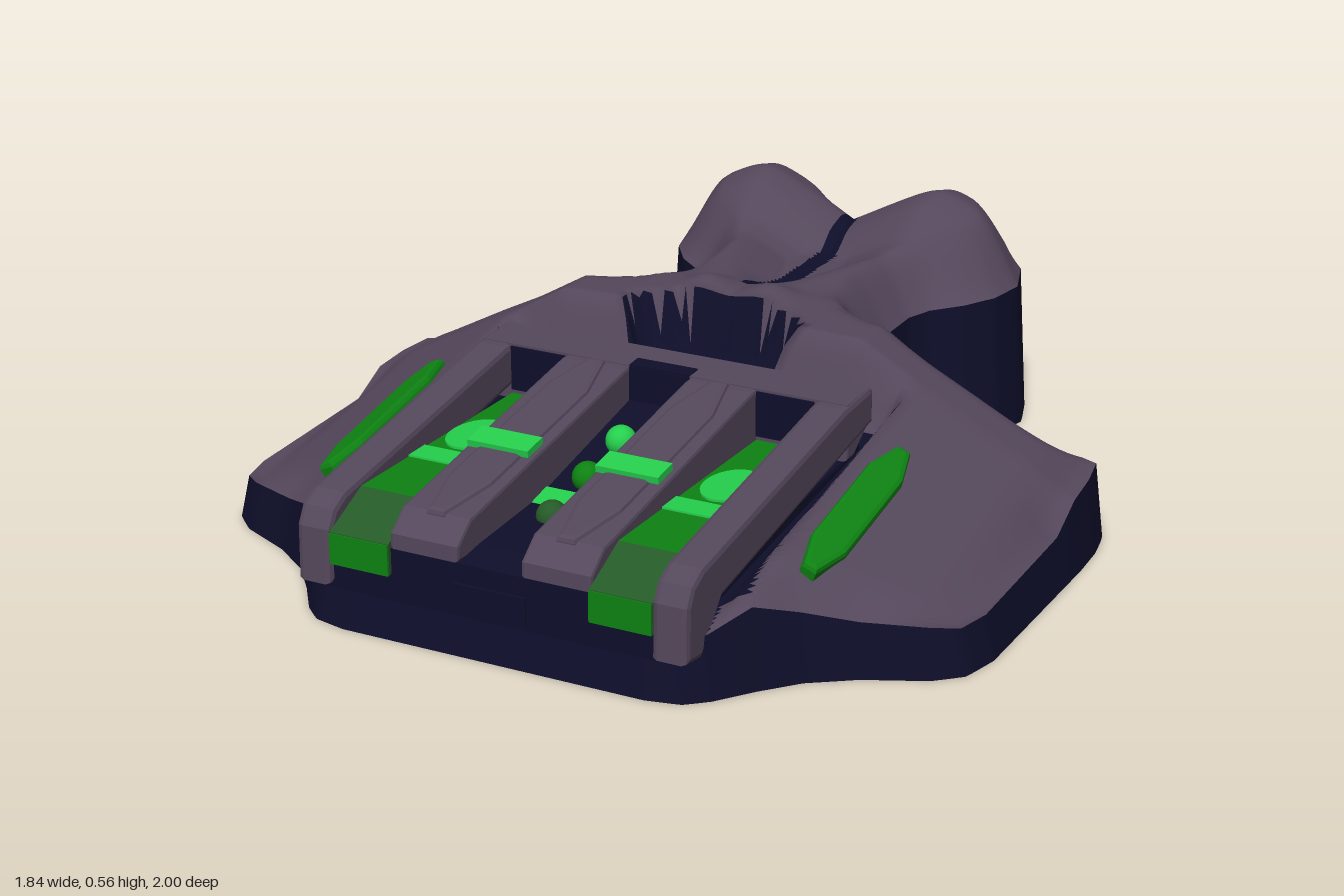
import * as THREE from 'three';

const mat = (name, color) => Object.assign(new THREE.MeshStandardMaterial({ color }), { name });

// Half outline of the hull's upper edge, from the rear notch to the nose: [x, z, edge height]
const NOTCH = [[0, -.895, .36], [.05, -.9, .36], [.1, -.945, .365], [.14, -.97, .37], [.2, -.98, .37]];
const FLANK = [[.2, -.98, .37], [.28, -.97, .37], [.36, -.93, .365], [.42, -.86, .36], [.452, -.76, .35],
  [.43, -.67, .345], [.38, -.6, .34], [.31, -.555, .33], [.28, -.5, .325], [.27, -.4, .315], [.285, -.3, .305],
  [.32, -.24, .3], [.37, -.215, .28], [.45, -.207, .25], [.6, -.205, .2], [.84, -.203, .18], [.88, -.185, .18],
  [.895, -.1, .175], [.9, 0, .165], [.9, .1, .115], [.9, .5, .1], [.88, .585, .1], [.83, .63, .11],
  [.7, .69, .12], [.6, .76, .15], [.53, .84, .18], [.47, .92, .14], [.43, .955, .1], [.36, .97, .09]];
const EDGE = [...NOTCH, ...FLANK.slice(1), [0, .97, .09]];

const { lerp, smoothstep } = THREE.MathUtils;

// Piecewise linear lookup
function table(v, pts) {
  if (v <= pts[0][0]) return pts[0][1];
  for (let i = 1; i < pts.length; i++) {
    const [a, b] = [pts[i - 1], pts[i]];
    if (v <= b[0]) return lerp(a[1], b[1], (v - a[0]) / (b[0] - a[0]));
  }
  return pts[pts.length - 1][1];
}

// Distance to the outline and the edge height at the nearest point
function nearestEdge(x, z) {
  let best = [9, 0];
  for (let i = 1; i < EDGE.length; i++) {
    const [a, b] = [EDGE[i - 1], EDGE[i]], dx = b[0] - a[0], dz = b[1] - a[1];
    const t = THREE.MathUtils.clamp(((x - a[0]) * dx + (z - a[1]) * dz) / (dx * dx + dz * dz), 0, 1);
    const d = Math.hypot(x - a[0] - t * dx, z - a[1] - t * dz);
    if (d < best[0]) best = [d, lerp(a[2], b[2], t)];
  }
  return best;
}

const pit = (x, z) => (x / .22) ** 2 + ((z + .01) / .09) ** 2;

// Hull height: rear lobes and ridges, swept wings, bed for the deck
function height(x, z) {
  let wing = table(x, [[0, .46], [.38, .45], [.5, .38], [.6, .33], [.75, .25], [.85, .2], [.92, .14]]);
  wing += .03 * Math.exp(-((x - .08) ** 2 + (z + .15) ** 2) / .003) - .18 * Math.max(0, z);
  const dx = x - table(z, [[-.8, .24], [-.6, .22], [-.2, .09]]);
  const crest = table(z, [[-.97, .42], [-.92, .48], [-.85, .54], [-.77, .56], [-.7, .54], [-.62, .475], [-.55, .455], [-.2, .46]]);
  const ridge = Math.max(.4, crest - .55 * (Math.sqrt(dx * dx + .0016) - .04));
  let h = lerp(ridge, wing, smoothstep(z, -.35, -.18));
  h = lerp(h, .25 - .12 * (z - .1), smoothstep(z, 0, .09) * (1 - smoothstep(x, .46, .52)));
  h = lerp(h, Math.min(h, .33), 1 - smoothstep(pit(x, z), .75, 1));
  const [d, e] = nearestEdge(x, z);
  return lerp(e, h, Math.sin(Math.min(1, d / .11) * Math.PI / 2));
}

const isDark = (x, z) => (x < .024 && z > -.9 && z < -.2) || pit(x, z) < 1 ||
  (x < .46 && z > .095) || (x < .505 && z > .07 && z < .82);

function meshData(pos, groups) {
  const g = new THREE.BufferGeometry();
  g.setAttribute('position', new THREE.Float32BufferAttribute(pos, 3));
  g.setIndex(groups.flat());
  let start = 0;
  groups.forEach((list, i) => { g.addGroup(start, list.length, i); start += list.length; });
  g.computeVertexNormals();
  return g;
}

// Split the outline into short steps
function fineEdge() {
  const out = [];
  for (let i = 1; i < EDGE.length; i++) {
    const [a, b] = [EDGE[i - 1], EDGE[i]], n = Math.ceil(Math.hypot(b[0] - a[0], b[1] - a[1]) / .025);
    for (let k = 0; k < n; k++) out.push(a.map((v, c) => lerp(v, b[c], k / n)));
  }
  out.push(EDGE[EDGE.length - 1]);
  return out;
}

function shellGeometry(side, fine) {
  const zs = [...new Set(fine.map(p => +p[1].toFixed(5)))].sort((a, b) => a - b), cols = 40;
  const inner = NOTCH.map(p => [p[1], p[0]]).reverse(), outer = FLANK.map(p => [p[1], p[0]]);
  const pos = [], xz = [], groups = [[], []];
  for (const z of zs) for (let j = 0; j <= cols; j++) {
    const x = lerp(table(z, inner), table(z, outer), j / cols);
    pos.push(side * x, height(x, z), z);
    xz.push([x, z]);
  }
  const tri = (a, b, c) => {
    const x = (xz[a][0] + xz[b][0] + xz[c][0]) / 3, z = (xz[a][1] + xz[b][1] + xz[c][1]) / 3;
    groups[isDark(x, z) ? 1 : 0].push(...(side > 0 ? [a, b, c] : [a, c, b]));
  };
  for (let i = 0; i < zs.length - 1; i++) for (let j = 0; j < cols; j++) {
    const a = i * (cols + 1) + j, b = a + cols + 1;
    tri(a, b, a + 1);
    tri(a + 1, b, b + 1);
  }
  return meshData(pos, groups);
}

// Foot of the wall, pushed slightly outward from the upper edge
function footLine(fine) {
  return fine.map((p, i) => {
    const a = fine[Math.max(0, i - 1)], b = fine[Math.min(fine.length - 1, i + 1)];
    const tx = b[0] - a[0], tz = b[1] - a[1], l = Math.hypot(tx, tz);
    return [p[0] === 0 ? 0 : p[0] + .022 * tz / l, p[1] - .022 * tx / l];
  });
}

function wallGeometry(side, fine, foot) {
  const pos = [], idx = [];
  fine.forEach((p, i) => {
    pos.push(side * p[0], p[2], p[1], side * foot[i][0], 0, foot[i][1]);
    if (!i) return;
    const a = 2 * i - 2, b = a + 1, c = a + 2, d = a + 3;
    idx.push(...(side > 0 ? [a, c, b, c, d, b] : [a, b, c, c, b, d]));
  });
  return meshData(pos, [idx]);
}

// Side profile [z, y] extruded from x0 to x1
function slab(profile, x0, x1, b = .008) {
  const g = new THREE.ExtrudeGeometry(new THREE.Shape(profile.map(p => new THREE.Vector2(...p))), {
    depth: x1 - x0 - 2 * b, bevelThickness: b, bevelSize: b, bevelOffset: -b, bevelSegments: 2 });
  return g.rotateY(-Math.PI / 2).translate(x1 - b, 0, 0);
}

// Long pod with tapered ends, lying along z
function lozenge(w, l, h) {
  const q = [[.2, .5], [.5, .3], [.5, -.3], [.2, -.5], [-.2, -.5], [-.5, -.3], [-.5, .3], [-.2, .5]];
  const s = new THREE.Shape(q.map(([x, y]) => new THREE.Vector2(x * w, y * l)));
  return new THREE.ExtrudeGeometry(s, { depth: h, bevelThickness: .012, bevelSize: .012, bevelOffset: -.012, bevelSegments: 2 })
    .rotateX(-Math.PI / 2);
}

export function createModel() {
  const root = new THREE.Group();
  const mauve = mat('mauve armour', 0x54475b), navy = mat('dark navy', 0x0e0e2a);
  const bright = mat('bright green', 0x25cf4d), green = mat('green', 0x0e8212), moss = mat('moss green', 0x255a28);
  const add = (name, geo, material, x = 0, y = 0, z = 0, rx = 0, rz = 0) => {
    const m = new THREE.Mesh(geo, material);
    m.name = name;
    m.position.set(x, y, z);
    m.rotation.set(rx, 0, rz);
    root.add(m);
    return m;
  };
  const box = (w, h, d) => new THREE.BoxGeometry(w, h, d);

  // Hull shell, walls and underside
  const fine = fineEdge(), foot = footLine(fine);
  for (const s of [1, -1]) {
    add('hullShell', shellGeometry(s, fine), [mauve, navy]);
    add('hullWall', wallGeometry(s, fine, foot), navy);
  }
  const ring = [...foot, ...foot.slice(1, -1).reverse().map(([x, z]) => [-x, z])];
  add('underside', new THREE.ShapeGeometry(new THREE.Shape(ring.map(p => new THREE.Vector2(...p)))).rotateX(Math.PI / 2), navy);

  // Deck: rear bar, navy core and central channel
  add('deckRearBar', slab([[.11, .32], [.11, .385], [.125, .397], [.24, .393], [.24, .26], [.2, .26]], -.46, .46), mauve);
  add('deckCore', slab([[.125, .22], [.125, .34], [.2, .34], [.22, .25], [.9, .22], [.985, .21], [.985, .09], [.8, .09]], -.44, .44), navy);
  add('channelFloor', slab([[.2, .32], [.99, .165], [.99, .1], [.2, .22]], -.085, .085, .002), navy);
  add('channelBackPlate', box(.15, .11, .006), navy, 0, .335, .242);
  add('channelTopStrip', box(.15, .006, .04), navy, 0, .394, .222, .06);
  add('channelBand', box(.15, .006, .065), bright, 0, .234, .65, .194);
  [[.42, bright], [.57, green], [.725, moss]].forEach(([z, m]) =>
    add('channelLamp', new THREE.SphereGeometry(.035, 20, 14), m, 0, .375 - .2 * z, z));

  const railProfile = [[.11, .31], [.11, .385], [.125, .397], [.26, .39], [.93, .288], [.975, .265], [.997, .225], [1, .1], [.93, .09], [.84, .19]];
  const ridgeProfile = [[.2, .24], [.2, .392], [.26, .39], [.93, .288], [.985, .245], [.985, .21], [.9, .2]];
  const floorProfile = [[.22, .2], [.22, .272], [.87, .28], [.87, .2]];
  const noseProfile = [[.87, .15], [.87, .28], [.995, .222], [.995, .15]];
  for (const s of [1, -1]) {
    const strip = (p, x0, x1, b) => slab(p, s > 0 ? x0 : -x1, s > 0 ? x1 : -x0, b);
    add('deckRail', strip(railProfile, .382, .465, .014), mauve);
    add('deckRidge', strip(ridgeProfile, .075, .24), mauve);

    // Slot floor, sloping nose and painted marks
    add('slotFloor', strip(floorProfile, .238, .384, .002), green);
    add('slotNose', strip(noseProfile, .238, .384, .002), moss);
    add('slotNosePlate', box(.144, .07, .006), green, s * .311, .185, .995);
    add('slotBackPlate', box(.14, .105, .006), navy, s * .311, .335, .242);
    const disc = add('slotDisc', new THREE.CylinderGeometry(1, 1, 1, 32), bright, s * .315, .278, .51);
    disc.scale.set(.06, .008, .088);
    add('slotBand', box(.142, .006, .065), bright, s * .311, .279, .65);

    // Raised pods and the band crossing them
    add('deckPod', lozenge(.11, .7, .01), mauve, s * .155, .327, .59, .15);
    add('deckBand', box(.15, .016, .065), bright, s * .157, .343, .65, .15);

    // Wing pods
    add('wingPod', lozenge(.085, .48, .02), green, s * .58, .243, .46, .185, -s * .42);
  }
  return root;
}
